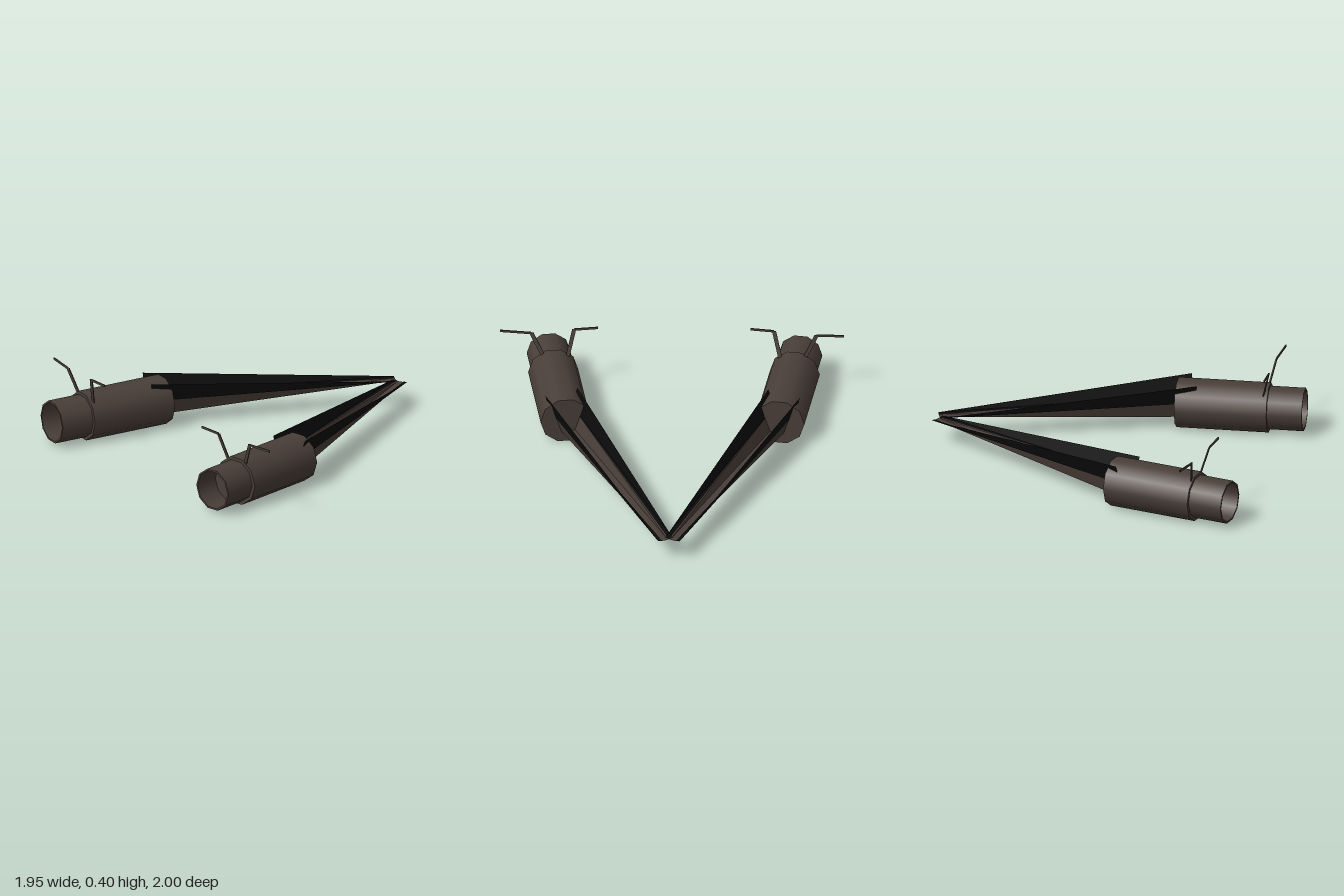
import * as THREE from 'three';

const SIDES = 10;
const MID_X = -0.013;

export function createModel() {
  const brown = new THREE.MeshStandardMaterial({ color: 0x4a3f39, side: THREE.DoubleSide });
  brown.name = 'dark brown';
  const black = new THREE.MeshStandardMaterial({ color: 0x0b0b0b, side: THREE.DoubleSide });
  black.name = 'black';

  const model = new THREE.Group();
  model.name = 'twinTubes';

  const add = (parent, name, geometry, material) => {
    const mesh = new THREE.Mesh(geometry, material);
    mesh.name = name;
    parent.add(mesh);
    return mesh;
  };

  // Open barrel lying along z, with a polygon corner on the x axis
  const barrel = (radius, z0, z1) =>
    new THREE.CylinderGeometry(radius, radius, z1 - z0, SIDES, 1, true, Math.PI / 2)
      .rotateX(Math.PI / 2).translate(0, 0, (z0 + z1) / 2);

  // Thin flat bar between two points
  const bar = (a, b, width) => {
    const dir = b.clone().sub(a);
    const length = dir.length();
    dir.normalize();
    const up = new THREE.Vector3(0, 0, 1).cross(dir).normalize();
    const side = dir.clone().cross(up);
    const m = new THREE.Matrix4().makeBasis(dir, up, side);
    m.setPosition(a.clone().add(b).multiplyScalar(0.5));
    return new THREE.BoxGeometry(length, width, 0.006).applyMatrix4(m);
  };

  // Lofted strip joining matching points of two cross-sections
  const loft = (from, to) => {
    const pos = [];
    for (let i = 0; i < from.length - 1; i++) {
      const quad = [from[i], to[i], to[i + 1], from[i], to[i + 1], from[i + 1]];
      quad.forEach((p) => pos.push(p.x, p.y, p.z));
    }
    const g = new THREE.BufferGeometry();
    g.setAttribute('position', new THREE.Float32BufferAttribute(pos, 3));
    g.computeVertexNormals();
    return g;
  };

  for (const s of [-1, 1]) {
    const label = s > 0 ? 'left' : 'right';
    const at = (x, y, z) => new THREE.Vector3(MID_X + s * x, y, z);

    // Stepped tube with a recessed front, splayed outwards
    const tube = new THREE.Group();
    tube.name = label + 'Tube';
    tube.position.copy(at(0.608, 0.138, 0.255));
    tube.rotation.y = s * Math.atan2(0.109, 0.723);
    model.add(tube);
    const big = 0.143, small = 0.124, bore = 0.113, step = 0.53, end = 0.731;
    add(tube, 'rearBarrel', barrel(big, 0, step), brown);
    add(tube, 'frontBarrel', barrel(small, step, end), brown);
    add(tube, 'bore', barrel(bore, end - 0.15, end), brown);
    add(tube, 'rearCap', new THREE.CircleGeometry(big, SIDES).rotateY(Math.PI), brown);
    add(tube, 'shoulder', new THREE.RingGeometry(small, big, SIDES), brown).position.z = step;
    add(tube, 'rim', new THREE.RingGeometry(bore, small, SIDES), brown).position.z = end;
    add(tube, 'boreFloor', new THREE.CircleGeometry(bore, SIDES), brown).position.z = end - 0.15;
    add(tube, 'centreHole', new THREE.CircleGeometry(0.013, 8), black).position.z = end - 0.147;

    // Tapering trough arm running back to the meeting point
    const arm = new THREE.Group();
    arm.name = label + 'Arm';
    model.add(arm);
    const tip = new THREE.Vector2(0.02, -0.98), root = new THREE.Vector2(0.633, 0.345);
    const across = root.clone().sub(tip).normalize();
    const section = (c, pts) => pts.map(([u, y]) => at(c.x + across.y * u, y, c.y - across.x * u));
    const rootHalf = [[0.1, 0.275], [0.068, 0.16], [0.04, 0.065]];
    const tipHalf = [[0.045, 0.137], [0.022, 0.134], [0.014, 0.132]];
    const flip = (pts) => pts.map(([u, y]) => [-u, y]);
    const hull = (h) => [h[1], h[2], ...flip([h[2], h[1]])];
    add(arm, 'armHull', loft(section(tip, hull(tipHalf)), section(root, hull(rootHalf))), brown);
    for (const k of [(p) => p, flip]) {
      add(arm, 'armWall', loft(section(tip, k(tipHalf.slice(0, 2))), section(root, k(rootHalf.slice(0, 2)))), black);
    }

    // Bent antenna strips: base, bend, tip
    const outerZ = s > 0 ? 0.782 : 0.757;
    const outerTip = s > 0 ? 0.988 : 0.965;
    const paths = {
      outerAntenna: [[0.735, 0.235, 0.755], [0.81, 0.388, 0.78], [outerTip, 0.4, outerZ]],
      innerAntenna: [[0.605, 0.235, 0.765], [0.568, 0.395, 0.81], [0.433, 0.4, 0.822]],
    };
    for (const [name, path] of Object.entries(paths)) {
      const [a, b, c] = path.map((p) => at(...p));
      const antenna = new THREE.Group();
      antenna.name = label + name[0].toUpperCase() + name.slice(1);
      model.add(antenna);
      add(antenna, 'antennaStem', bar(a, b, 0.022), brown);
      add(antenna, 'antennaTip', bar(b, c, 0.013), brown);
    }
  }
  return model;
}
